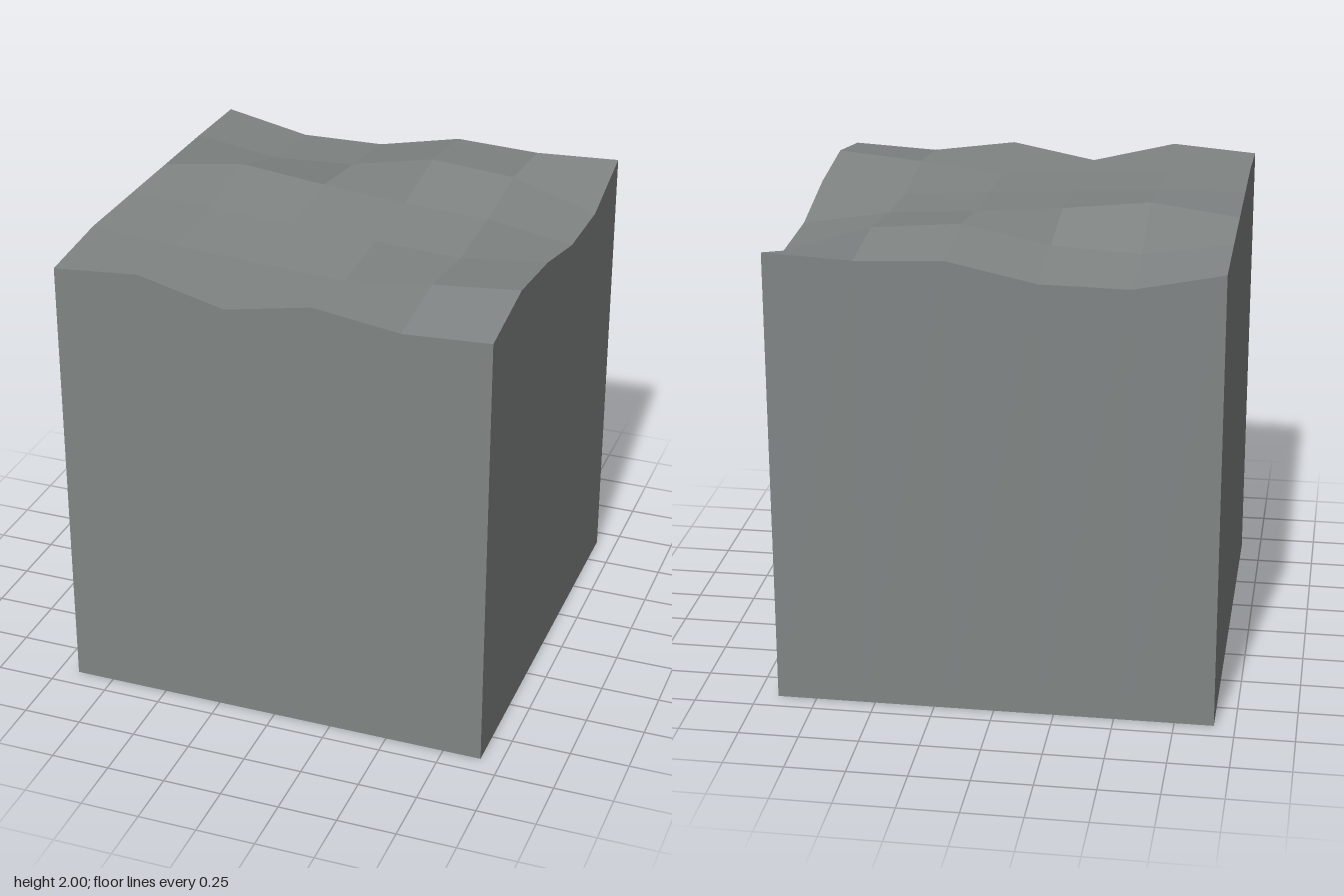
import * as THREE from 'three';

const HALF = 0.913;
const N = 5; // cells per side

// Ground heights: rows run back to front, columns run -x to +x
const heights = [
  [1.935, 1.86, 1.865, 1.942, 1.927, 1.945],
  [1.945, 1.89, 1.91, 1.985, 1.955, 1.84],
  [1.95, 2.0, 1.96, 1.93, 1.91, 1.85],
  [1.955, 1.95, 1.93, 1.91, 1.89, 1.93],
  [1.96, 1.93, 1.91, 1.89, 1.935, 1.97],
  [1.93, 1.96, 1.87, 1.94, 1.89, 1.91],
];

const at = (k) => -HALF + (2 * HALF * k) / N;
const top = (i, j) => new THREE.Vector3(at(i), heights[j][i], at(j));
const foot = (i, j) => new THREE.Vector3(at(i), 0, at(j));

// Mesh of separate quads, each with one flat normal; corners counter-clockwise
function quadMesh(name, quads, material) {
  const positions = [], normals = [], index = [];
  quads.forEach((quad, q) => {
    const [a, b, c, d] = quad;
    const normal = c.clone().sub(a).cross(d.clone().sub(b)).normalize();
    for (const p of quad) {
      positions.push(p.x, p.y, p.z);
      normals.push(normal.x, normal.y, normal.z);
    }
    const o = q * 4;
    index.push(o, o + 1, o + 2, o, o + 2, o + 3);
  });
  const geometry = new THREE.BufferGeometry();
  geometry.setAttribute('position', new THREE.Float32BufferAttribute(positions, 3));
  geometry.setAttribute('normal', new THREE.Float32BufferAttribute(normals, 3));
  geometry.setIndex(index);
  const mesh = new THREE.Mesh(geometry, material);
  mesh.name = name;
  return mesh;
}

export function createModel() {
  const stone = new THREE.MeshStandardMaterial({ color: 0x808584, side: THREE.DoubleSide });
  stone.name = 'stoneGrey';
  const block = new THREE.Group();
  block.name = 'terrainBlock';

  // Uneven top surface
  const cells = [];
  for (let j = 0; j < N; j++) {
    for (let i = 0; i < N; i++) {
      cells.push([top(i, j), top(i, j + 1), top(i + 1, j + 1), top(i + 1, j)]);
    }
  }
  block.add(quadMesh('unevenTop', cells, stone));

  // Four walls following the rim; the underside is open
  const rims = {
    frontWall: (k) => [k, N],
    rightSideWall: (k) => [N, N - k],
    backWall: (k) => [N - k, 0],
    leftSideWall: (k) => [0, k],
  };
  for (const [name, rim] of Object.entries(rims)) {
    const strips = [];
    for (let k = 0; k < N; k++) {
      const a = rim(k), b = rim(k + 1);
      strips.push([foot(...a), foot(...b), top(...b), top(...a)]);
    }
    block.add(quadMesh(name, strips, stone));
  }
  return block;
}
